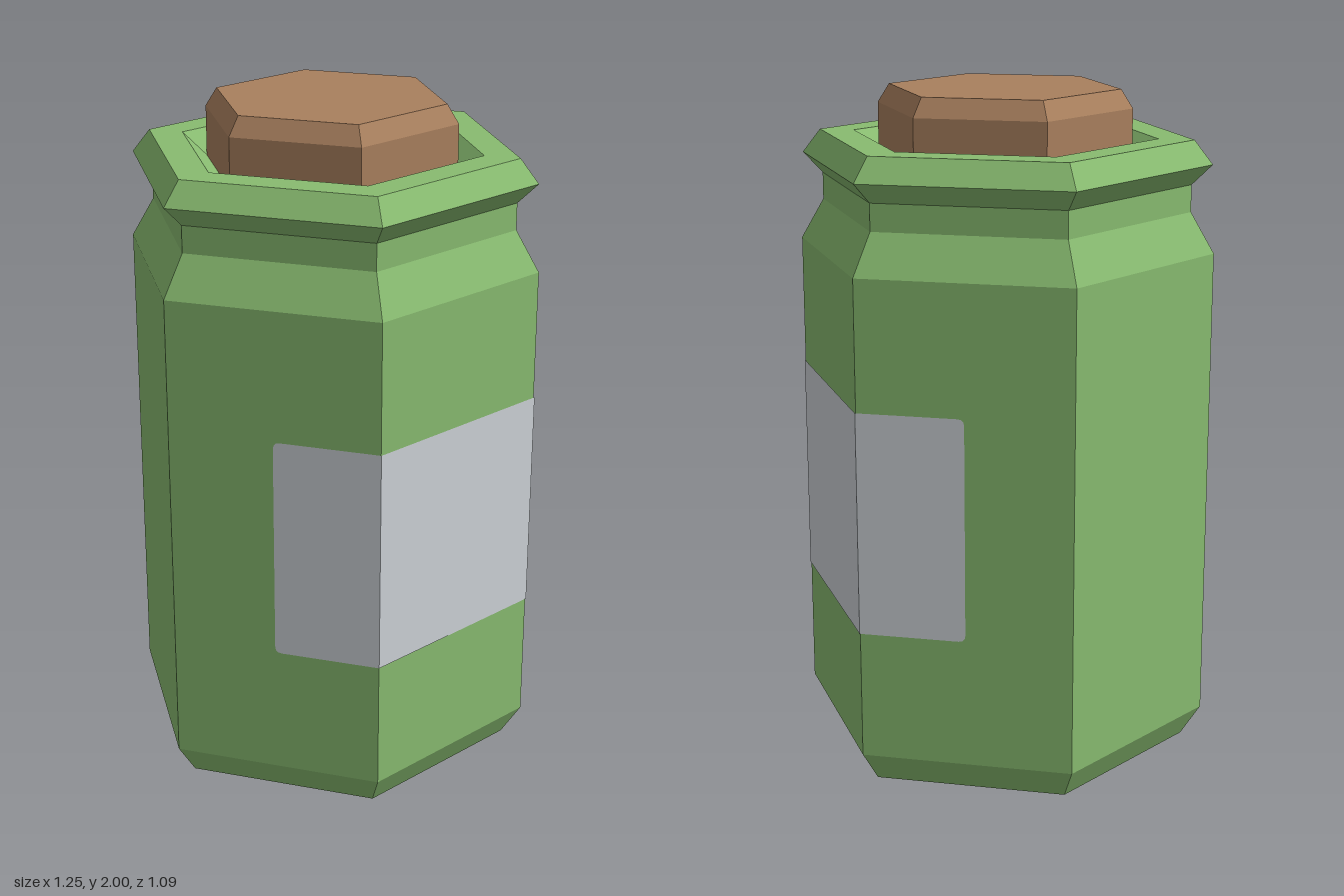
import * as THREE from 'three';

const SIDES = 6;

function flatMaterial(name, color) {
  const m = new THREE.MeshStandardMaterial({ color, flatShading: true });
  m.name = name;
  return m;
}

// Six-sided turned body with corners on the x axis
function hexLathe(name, profile, material) {
  const points = profile.map(([r, y]) => new THREE.Vector2(r, y));
  const mesh = new THREE.Mesh(new THREE.LatheGeometry(points, SIDES, Math.PI / 2), material);
  mesh.name = name;
  return mesh;
}

// Rectangle with optionally rounded left or right corners
function panelShape(x0, x1, y0, y1, rl, rr) {
  const s = new THREE.Shape();
  s.moveTo(x0 + rl, y0);
  s.lineTo(x1 - rr, y0);
  if (rr) s.quadraticCurveTo(x1, y0, x1, y0 + rr);
  s.lineTo(x1, y1 - rr);
  if (rr) s.quadraticCurveTo(x1, y1, x1 - rr, y1);
  s.lineTo(x0 + rl, y1);
  if (rl) s.quadraticCurveTo(x0, y1, x0, y1 - rl);
  s.lineTo(x0, y0 + rl);
  if (rl) s.quadraticCurveTo(x0, y0, x0 + rl, y0);
  return s;
}

export function createModel() {
  const green = flatMaterial('green glass', 0x88bb70);
  const cork = flatMaterial('cork brown', 0xa9805e);
  const paper = flatMaterial('label grey', 0xcdd2d7);
  const model = new THREE.Group();
  model.name = 'corkedJar';

  // Jar: base bevel, wall, shoulder, neck, flared rim and sloping mouth
  model.add(hexLathe('jar', [
    [0, 0], [0.565, 0], [0.625, 0.095], [0.625, 1.53], [0.555, 1.65],
    [0.555, 1.73], [0.615, 1.79], [0.56, 1.86], [0.455, 1.86], [0.36, 1.78],
  ], green));

  // Cork stopper with a bevelled top
  model.add(hexLathe('stopper', [
    [0, 1.7], [0.38, 1.7], [0.38, 1.945], [0.345, 2], [0, 2],
  ], cork));

  // Label wrapped over two whole faces and half of a face at each end
  const label = new THREE.Group();
  label.name = 'label';
  const radius = 0.628;
  const half = radius / 2;
  const apothem = radius * Math.cos(Math.PI / SIDES);
  const panels = [[-1, 0, half, 0.02, 0], [0, -half, half, 0, 0], [1, -half, half, 0, 0], [2, -half, 0, 0, 0.02]];
  for (const [turn, x0, x1, rl, rr] of panels) {
    const geometry = new THREE.ShapeGeometry(panelShape(x0, x1, 0.48, 1.145, rl, rr), 3);
    geometry.translate(0, 0, apothem);
    geometry.rotateY(turn * Math.PI / 3);
    const panel = new THREE.Mesh(geometry, paper);
    panel.name = 'labelPanel';
    label.add(panel);
  }
  model.add(label);
  return model;
}
